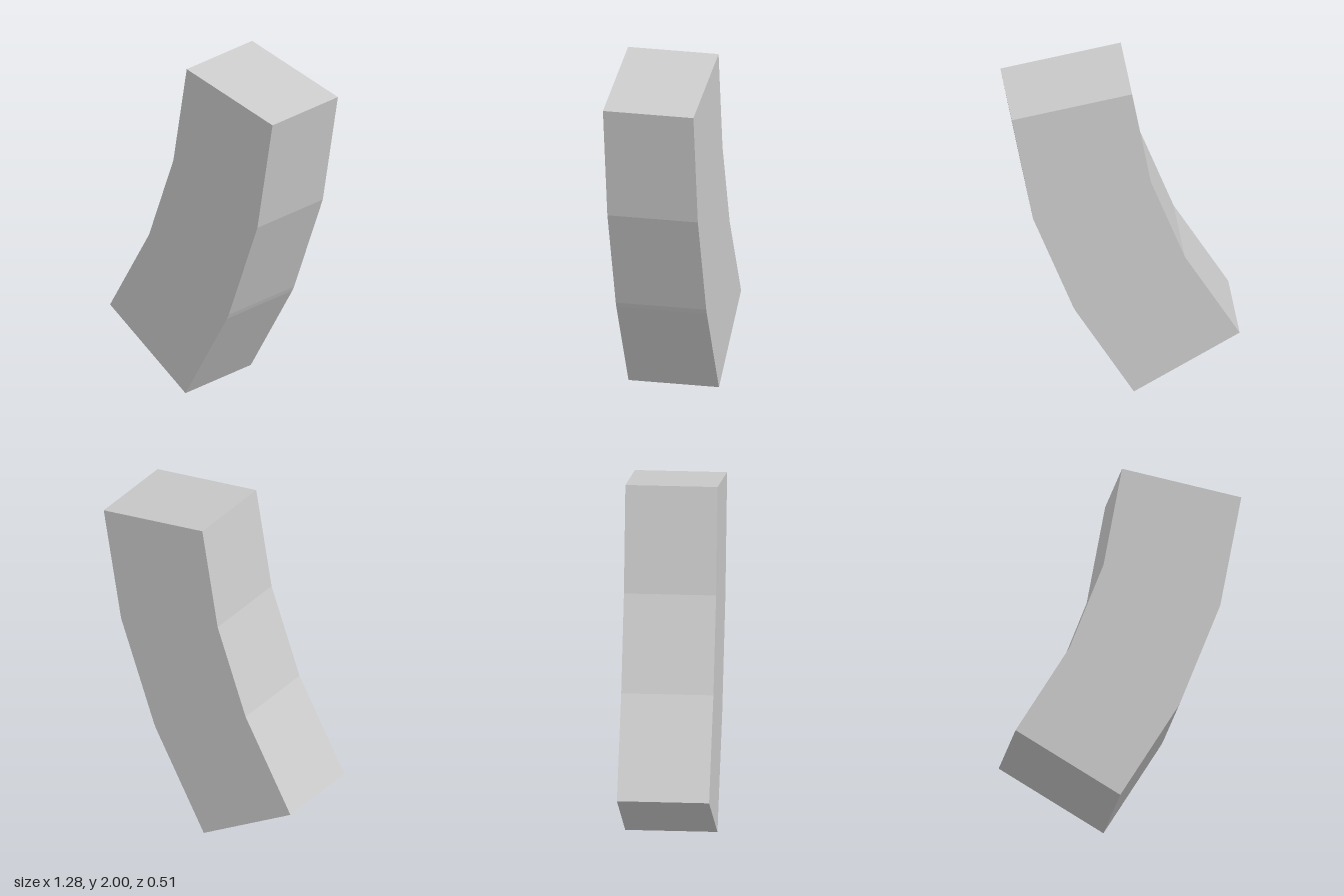
import * as THREE from 'three';

export function createModel() {
  const group = new THREE.Group();
  const depth = 0.514;

  // Side outline of three segments leaning 30, 20 and 10 degrees
  const outline = [
    [-0.046, 0], [0.28, 0.568], [0.294, 0.598], [0.519, 1.21], [0.638, 1.882],
    [-0.036, 2], [-0.141, 1.402], [-0.332, 0.88], [-0.638, 0.346],
  ].map(([x, y]) => new THREE.Vector2(x, y));

  const geometry = new THREE.ExtrudeGeometry(new THREE.Shape(outline), { depth, bevelEnabled: false });
  geometry.translate(0, 0, -depth / 2);

  const material = new THREE.MeshStandardMaterial({ color: 0xcccccc, flatShading: true });
  const block = new THREE.Mesh(geometry, material);
  block.name = 'curvedBlock';
  group.add(block);
  return group;
}
